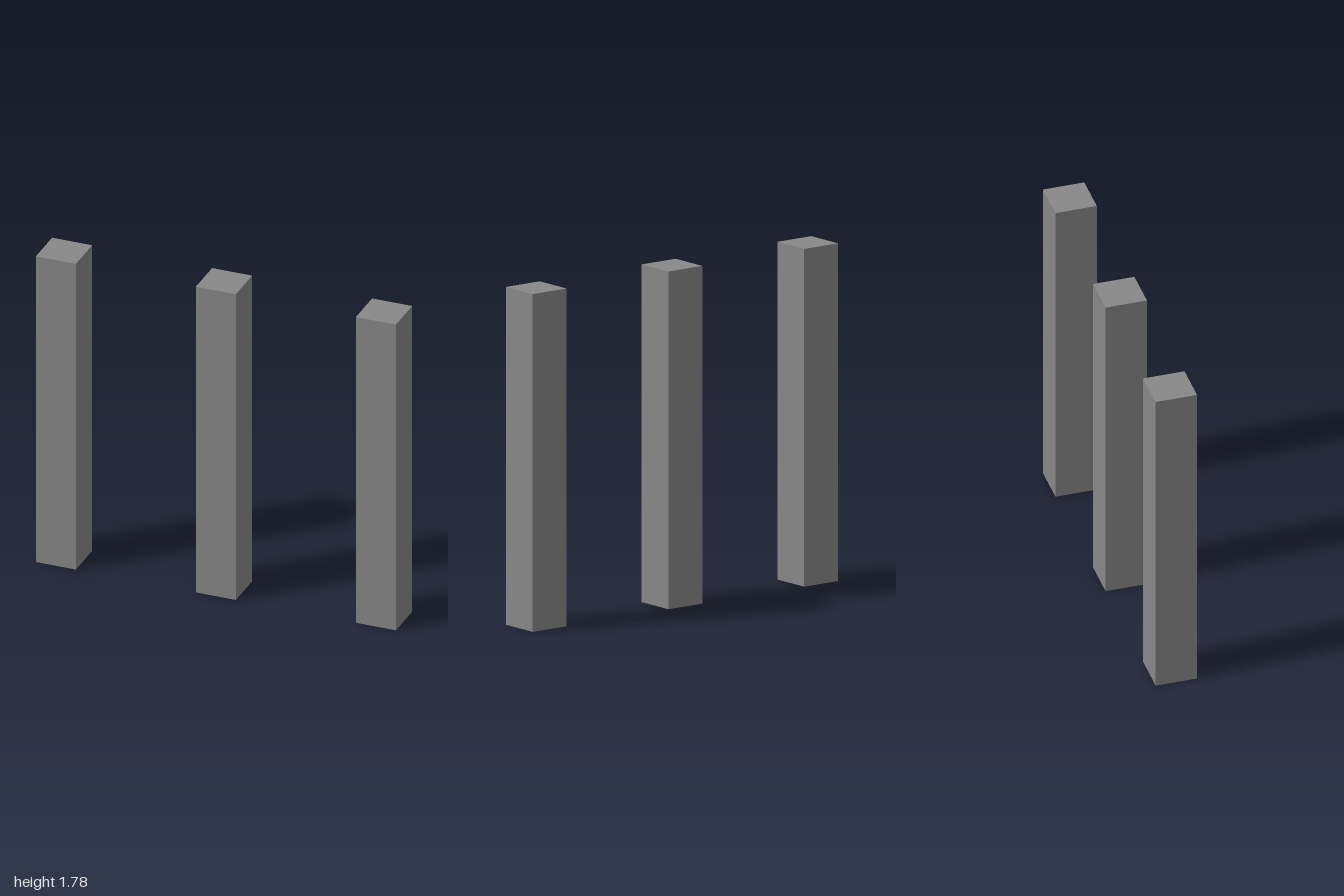
import * as THREE from 'three';

const WIDTH = 2 / 9;
const HEIGHT = 16 / 9;
const SPACING = 8 / 9;

// Square post: four walls and a cap, open underneath
function postGeometry() {
  const geometry = new THREE.BoxGeometry(WIDTH, HEIGHT, WIDTH);
  const index = Array.from(geometry.index.array);
  index.splice(18, 6); // drop the bottom face
  geometry.setIndex(index);
  geometry.clearGroups();
  geometry.translate(0, HEIGHT / 2, 0);
  return geometry;
}

export function createModel() {
  const model = new THREE.Group();
  model.name = 'posts';
  const material = new THREE.MeshStandardMaterial({ color: 0x888888, side: THREE.DoubleSide });
  const geometry = postGeometry();

  // Three equal posts in a row
  ['rightPost', 'middlePost', 'leftPost'].forEach((name, i) => {
    const post = new THREE.Mesh(geometry, material);
    post.name = name;
    post.position.x = (i - 1) * SPACING;
    model.add(post);
  });
  return model;
}
